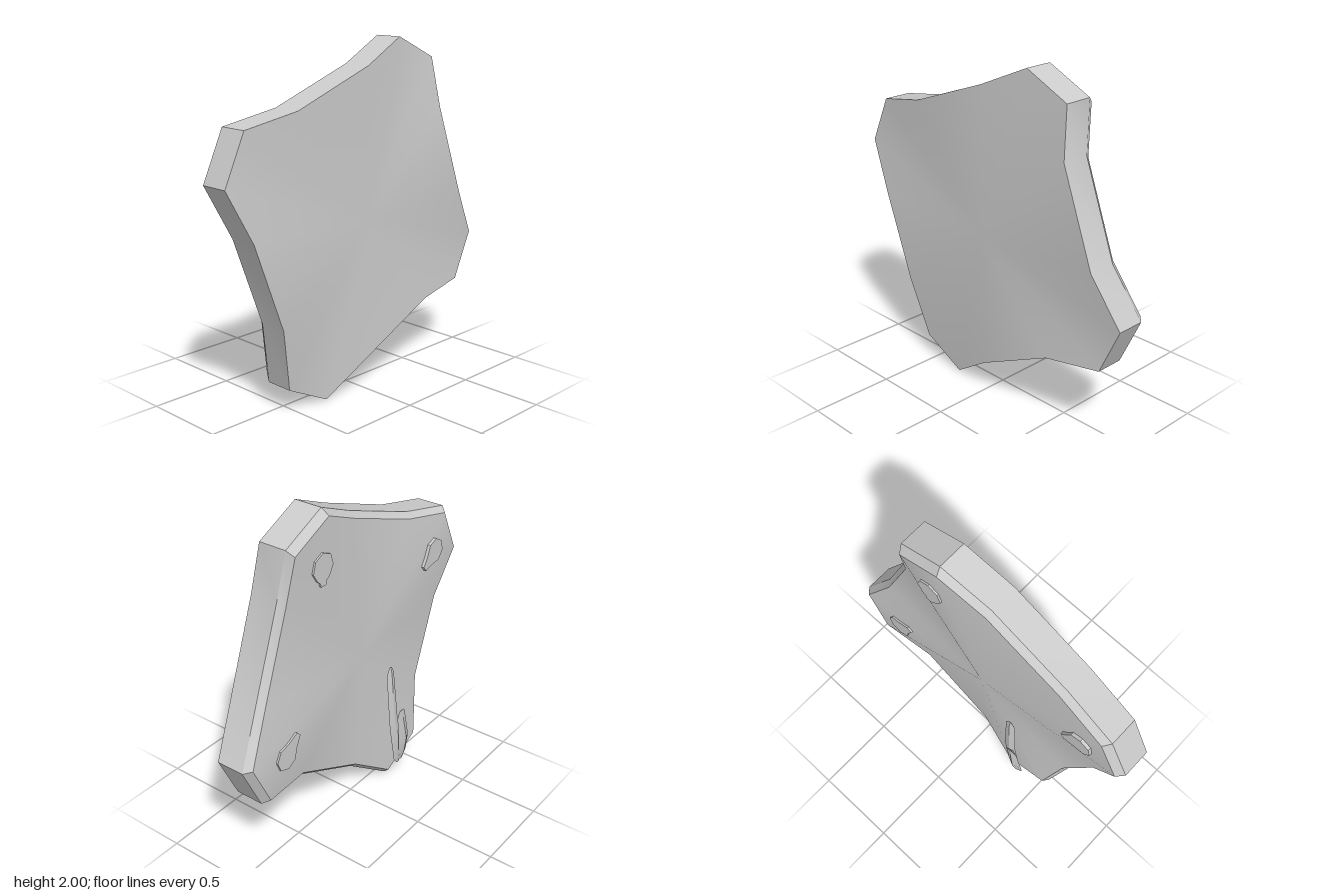
import * as THREE from 'three';
import { toCreasedNormals } from 'three/addons/utils/BufferGeometryUtils.js';

const material = new THREE.MeshStandardMaterial({ color: 0xcccccc });

function add(group, name, geometry) {
  const mesh = new THREE.Mesh(toCreasedNormals(geometry, 0.55), material);
  mesh.name = name;
  group.add(mesh);
  return mesh;
}

// Joins rings of equal length and closes both ends with a fan to a centre point
function loft(rings, startCentre, endCentre) {
  const n = rings[0].length;
  const positions = [startCentre, ...rings.flat(), endCentre].flat();
  const last = rings.length * n + 1;
  const index = [];
  for (let i = 0; i < n; i++) {
    const j = (i + 1) % n;
    index.push(0, 1 + j, 1 + i);
    for (let r = 0; r < rings.length - 1; r++) {
      const a = 1 + r * n, b = a + n;
      index.push(a + i, a + j, b + j, a + i, b + j, b + i);
    }
    const e = last - n;
    index.push(last, e + i, e + j);
  }
  const g = new THREE.BufferGeometry();
  g.setAttribute('position', new THREE.Float32BufferAttribute(positions, 3));
  g.setIndex(index);
  return g;
}

// Four-cornered slab: outline as [z, y, bend of the corner towards -x]
function slabGeometry() {
  const outline = [
    [-0.30, 2.00, 0.045], [-0.58, 1.87, 0.045], [-0.61, 1.58, 0], [-0.81, 1.04, 0],
    [-0.98, 0.75, 0.045], [-0.85, 0.47, 0.045], [-0.51, 0.43, 0], [-0.01, 0.19, 0.005],
    [0.27, 0.00, 0.06], [0.55, 0.14, 0.06], [0.64, 0.52, 0], [0.83, 1.03, 0],
    [0.98, 1.33, 0.035], [0.85, 1.61, 0.035], [0.52, 1.675, 0], [0.00, 1.865, 0],
  ];
  const ring = (x, scale) =>
    outline.map(([z, y, bend]) => [x - bend, 1 + (y - 1) * scale, z * scale]);
  return loft([ring(0.17, 1), ring(0, 1), ring(-0.04, 0.96)], [0.17, 1, 0], [-0.08, 1, 0]);
}

// Keyhole-shaped stud: a round head with a narrow lug, pressed on the -x face
function studGeometry(head, lug, depth) {
  const shape = new THREE.Shape();
  const outline = [];
  for (let i = 0; i < 7; i++) {
    const a = 0.6 + (i / 6) * (2 * Math.PI - 1.2);
    outline.push(new THREE.Vector2(Math.cos(a) * head, Math.sin(a) * head));
  }
  outline.push(new THREE.Vector2(lug - 0.025, -0.028), new THREE.Vector2(lug, -0.02),
    new THREE.Vector2(lug, 0.02), new THREE.Vector2(lug - 0.025, 0.028));
  shape.setFromPoints(outline);
  return new THREE.ExtrudeGeometry(shape, { depth, bevelEnabled: false });
}

// Slender blade from [y, x, z, half thickness, half width] stations, top to bottom
function bladeGeometry(stations) {
  const rings = stations.map(([y, x, z, t, w]) =>
    [[x + t, y, z], [x, y, z + w], [x - t, y, z], [x, y, z - w]].reverse());
  const tip = ([y, x, z]) => [x, y, z];
  return loft(rings.map((r) => r.reverse()), tip(stations[0]), tip(stations[stations.length - 1]));
}

export function createModel() {
  const model = new THREE.Group();
  model.name = 'slab';

  add(model, 'slabBody', slabGeometry());

  // Studs near three corners: z, y, direction of the lug, head radius, lug reach
  const studs = [
    [-0.35, 1.70, -Math.PI / 2, 0.082, 0.105],
    [0.70, 1.385, -2.5, 0.08, 0.13],
    [-0.68, 0.70, 0.8, 0.08, 0.14],
  ];
  for (const [z, y, angle, head, lug] of studs) {
    const stud = add(model, 'stud', studGeometry(head, lug, 0.05));
    // Shape x runs along +z, extrusion towards -x
    stud.rotation.set(0, -Math.PI / 2, 0);
    stud.rotateZ(angle);
    stud.position.set(-0.045, y, z);
  }

  // Two overlapping blades hanging in front of the lower corner
  add(model, 'longBlade', bladeGeometry([
    [0.805, -0.105, 0.25, 0.003, 0.01], [0.76, -0.105, 0.25, 0.012, 0.035],
    [0.42, -0.122, 0.27, 0.012, 0.042], [0.30, -0.125, 0.29, 0.014, 0.045],
    [0.12, -0.125, 0.32, 0.01, 0.04], [0.07, -0.12, 0.33, 0.003, 0.012],
  ]));
  add(model, 'shortBlade', bladeGeometry([
    [0.495, -0.16, 0.30, 0.003, 0.025], [0.44, -0.152, 0.31, 0.014, 0.04],
    [0.27, -0.15, 0.34, 0.024, 0.05], [0.15, -0.137, 0.35, 0.015, 0.04],
    [0.08, -0.122, 0.36, 0.003, 0.012],
  ]));
  return model;
}
